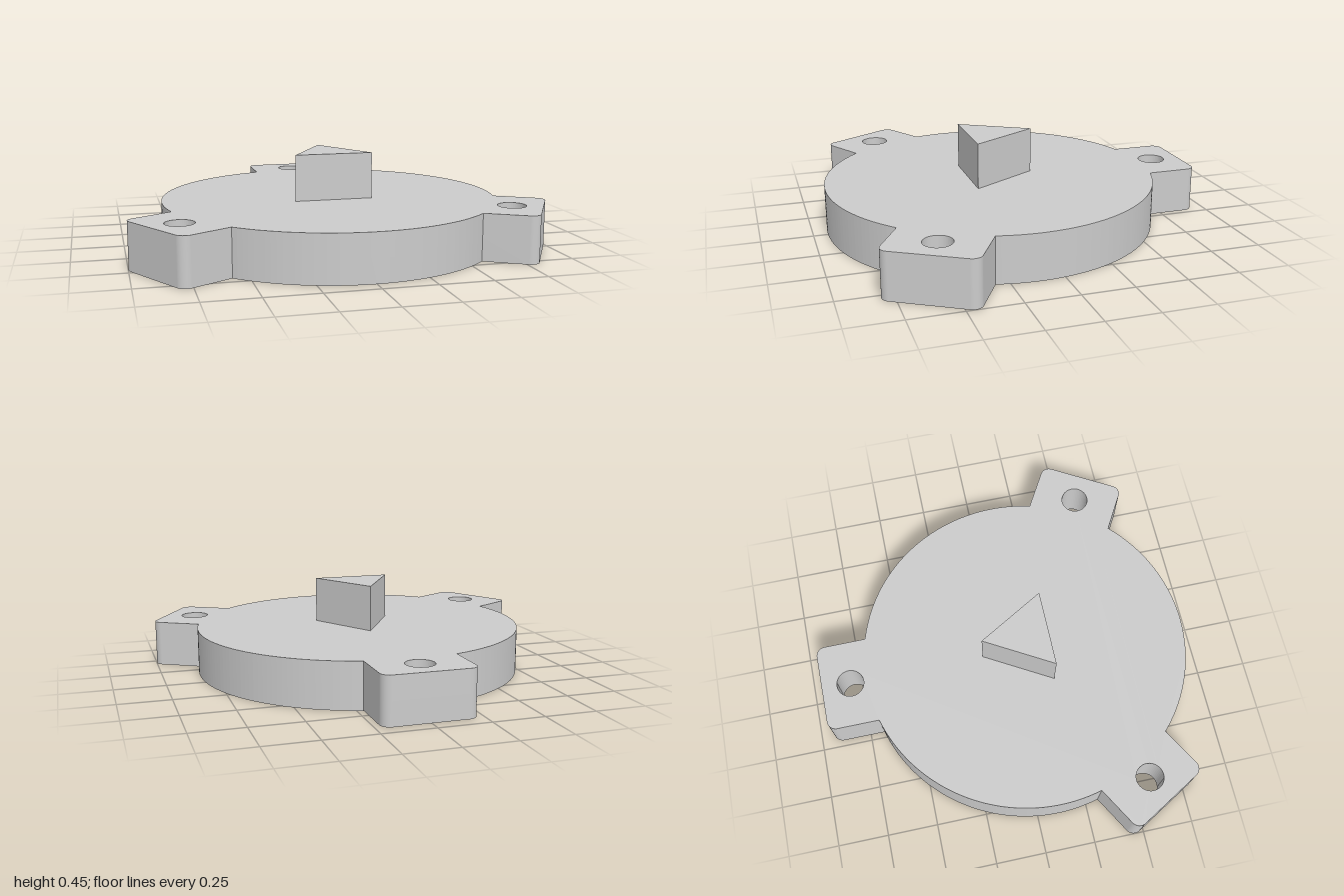
import * as THREE from 'three';

const RADIUS = 0.82, HEIGHT = 0.225, DEPTH = 0.1125;
const material = new THREE.MeshStandardMaterial({ color: 0xcccccc });

// Point at distance u along the direction a, and v to its counterclockwise side
const polar = (a, u, v) => [
  u * Math.cos(a) - v * Math.sin(a),
  u * Math.sin(a) + v * Math.cos(a),
];

function circlePath(x, y, r) {
  const path = new THREE.Path();
  path.absarc(x, y, r, 0, Math.PI * 2, true);
  return path;
}

// Disc with three rounded, drilled tabs
function bodyShape() {
  const shape = new THREE.Shape();
  const half = 0.22, end = 1.045, corner = 0.045;
  const spread = Math.asin(half / RADIUS);
  for (let i = 0; i < 3; i++) {
    const a = Math.PI / 2 + (i * Math.PI * 2) / 3;
    for (const side of [-1, 1]) {
      const [x, y] = polar(a, end - corner, side * (half - corner));
      const start = side < 0 ? a - Math.PI / 2 : a;
      shape.absarc(x, y, corner, start, start + Math.PI / 2, false);
    }
    shape.absarc(0, 0, RADIUS, a + spread, a + (Math.PI * 2) / 3 - spread, false);
    shape.holes.push(circlePath(...polar(a, 0.9, 0), 0.068));
  }
  shape.closePath();
  return shape;
}

// Inner disc with six rectangular notches in its edge
function plugShape() {
  const shape = new THREE.Shape();
  const r = 0.735, half = 0.11, inner = 0.62;
  const spread = Math.asin(half / r);
  for (let i = 0; i < 6; i++) {
    const a = Math.PI / 6 + (i * Math.PI) / 3;
    const from = polar(a, inner, -half);
    if (i === 0) shape.moveTo(...from);
    else shape.lineTo(...from);
    shape.lineTo(...polar(a, inner, half));
    shape.absarc(0, 0, r, a + spread, a + Math.PI / 3 - spread, false);
  }
  shape.closePath();
  return shape;
}

// Extrude a plan shape upward between two heights
function slab(name, shape, bottom, top) {
  const geometry = new THREE.ExtrudeGeometry(shape, {
    depth: top - bottom, bevelEnabled: false, curveSegments: 24,
  });
  geometry.rotateX(-Math.PI / 2);
  geometry.translate(0, bottom, 0);
  const mesh = new THREE.Mesh(geometry, material);
  mesh.name = name;
  return mesh;
}

export function createModel() {
  const group = new THREE.Group();
  group.name = 'mountingCap';
  const body = new THREE.Group();
  body.name = 'body';
  body.position.z = 0.11;
  group.add(body);

  // Closed upper plate
  body.add(slab('topPlate', bodyShape(), DEPTH, HEIGHT));

  // Lower rim and tabs around the open groove
  const rim = bodyShape();
  rim.holes.push(circlePath(0, 0, 0.77));
  body.add(slab('lowerRim', rim, 0, DEPTH));

  // Notched plug inside the groove
  body.add(slab('notchedPlug', plugShape(), 0, DEPTH));

  // Triangular post pointing to the back
  const triangle = new THREE.Shape(
    [0, 1, 2].map((i) => new THREE.Vector2(...polar(Math.PI / 2 + (i * Math.PI * 2) / 3, 0.22, 0)))
  );
  body.add(slab('triangularPost', triangle, HEIGHT, HEIGHT * 2));

  return group;
}
